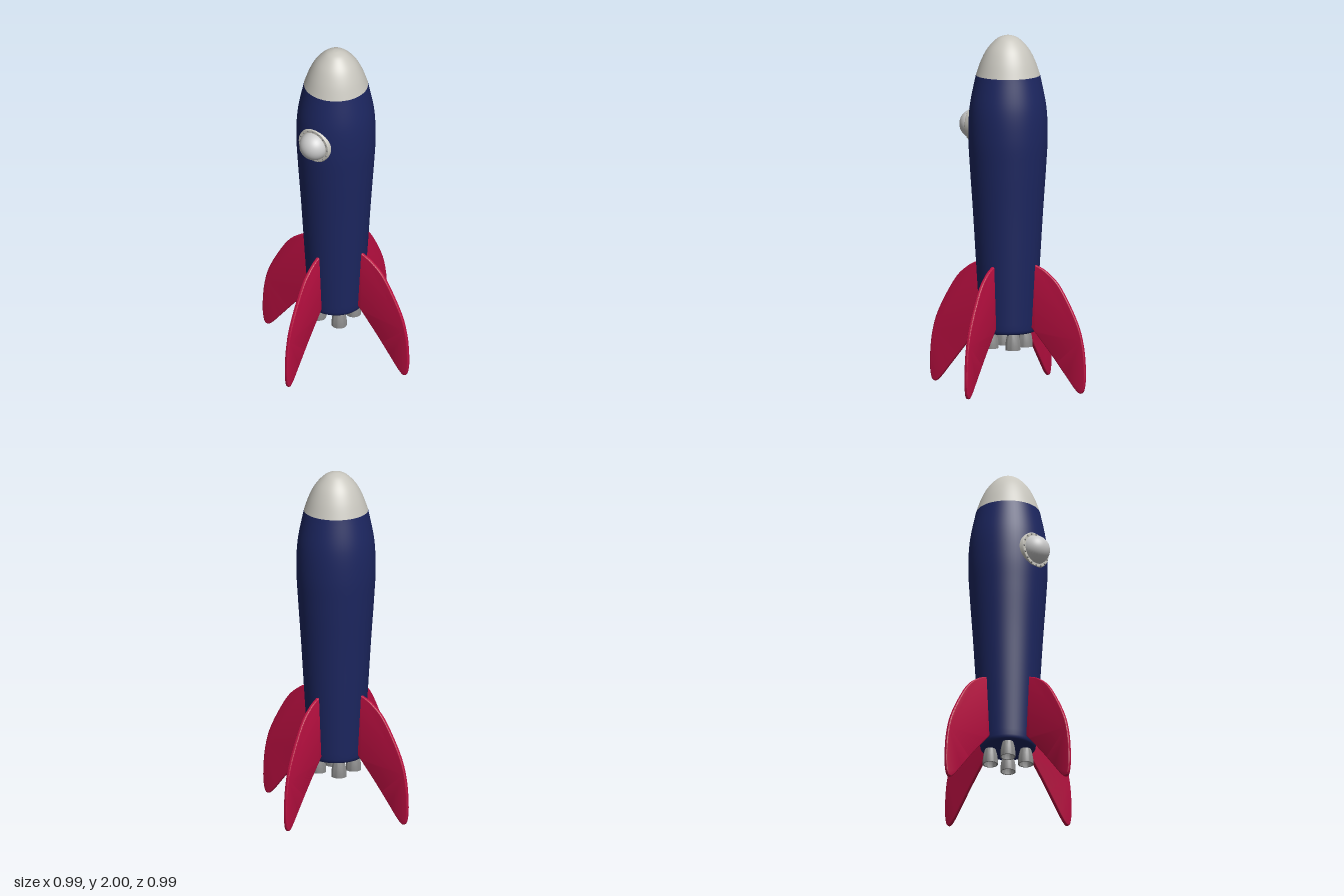
import * as THREE from 'three';
import { toCreasedNormals } from 'three/addons/utils/BufferGeometryUtils.js';

const paint = (color) => new THREE.MeshStandardMaterial({ color, side: THREE.DoubleSide });
const navy = paint(0x1c2660);
const red = paint(0xb80f40);
const ivory = paint(0xc8c6be);
const grey = paint(0xcccccc);
const steel = paint(0x8c8c8c);

const vectors = (points) => points.map(([x, y]) => new THREE.Vector2(x, y));

// Smooth curve through a few points, sampled for turning
const smooth = (points, n) => new THREE.SplineCurve(vectors(points)).getPoints(n);

function addMesh(parent, name, geometry, material) {
  const mesh = new THREE.Mesh(geometry, material);
  mesh.name = name;
  parent.add(mesh);
  return mesh;
}

function finGeometry() {
  const shape = new THREE.Shape();
  shape.moveTo(0.1, 0.71);
  shape.lineTo(0.18, 0.71);
  shape.splineThru(vectors([[0.25, 0.675], [0.335, 0.595], [0.44, 0.41], [0.482, 0.27],
    [0.495, 0.12], [0.487, 0.03], [0.465, 0.003], [0.43, 0.025], [0.36, 0.11], [0.27, 0.22], [0.155, 0.35]]));
  shape.lineTo(0.1, 0.38);
  shape.closePath();
  const bevel = 0.007;
  const geometry = new THREE.ExtrudeGeometry(shape, {
    depth: 0.006, bevelEnabled: true, bevelThickness: bevel, bevelSize: bevel,
    bevelOffset: -bevel, bevelSegments: 3, curveSegments: 50,
  });
  geometry.translate(0, 0, -0.003);
  return toCreasedNormals(geometry, 0.7);
}

export function createModel() {
  const rocket = new THREE.Group();
  rocket.name = 'rocket';

  // Hull with a rounded, closed base
  const side = smooth([[0.156, 0.345], [0.178, 0.7], [0.196, 1.0], [0.213, 1.25],
    [0.222, 1.43], [0.214, 1.6], [0.18, 1.775]], 40);
  const hull = [...vectors([[0, 0.32], [0.138, 0.32], [0.149, 0.324], [0.154, 0.332]]), ...side];
  addMesh(rocket, 'hull', toCreasedNormals(new THREE.LatheGeometry(hull, 64), 0.7), navy);

  // Nose cone
  const nose = smooth([[0.18, 1.775], [0.152, 1.855], [0.115, 1.925], [0.065, 1.978], [0.025, 1.997], [0, 2]], 24);
  addMesh(rocket, 'noseCone', new THREE.LatheGeometry(nose, 64), ivory);

  // Four swept fins
  const finShape = finGeometry();
  for (let i = 0; i < 4; i++) {
    addMesh(rocket, 'fin', finShape, red).rotation.y = i * Math.PI / 2;
  }

  // Four hollow nozzles under the base
  const bell = vectors([[0.026, 0.335], [0.032, 0.315], [0.039, 0.285], [0.043, 0.255], [0.043, 0.23],
    [0.036, 0.23], [0.036, 0.255], [0.028, 0.29], [0, 0.3]]).reverse();
  const nozzleShape = toCreasedNormals(new THREE.LatheGeometry(bell, 28), 0.7);
  for (const x of [-0.07, 0.07]) {
    for (const z of [-0.07, 0.07]) {
      addMesh(rocket, 'nozzle', nozzleShape, steel).position.set(x, 0, z);
    }
  }

  // Porthole: riveted rim and domed glass, facing forward
  const porthole = new THREE.Group();
  porthole.name = 'porthole';
  porthole.position.set(0, 1.48, 0.2);
  rocket.add(porthole);
  const rim = vectors([[0.076, -0.03], [0.103, -0.03], [0.103, 0.018], [0.099, 0.023], [0.076, 0.023]]);
  const rimMesh = addMesh(porthole, 'portholeRim', toCreasedNormals(new THREE.LatheGeometry(rim, 48), 0.7), ivory);
  rimMesh.rotation.x = Math.PI / 2;
  const dome = addMesh(porthole, 'portholeDome',
    new THREE.SphereGeometry(0.083, 40, 16, 0, Math.PI * 2, 0, Math.PI / 2), grey);
  dome.rotation.x = Math.PI / 2;
  dome.position.z = 0.016;
  const rivetShape = new THREE.SphereGeometry(0.006, 10, 8);
  for (let i = 0; i < 16; i++) {
    const a = i * Math.PI / 8;
    addMesh(porthole, 'rivet', rivetShape, steel).position.set(0.093 * Math.cos(a), 0.093 * Math.sin(a), 0.022);
  }

  return rocket;
}
